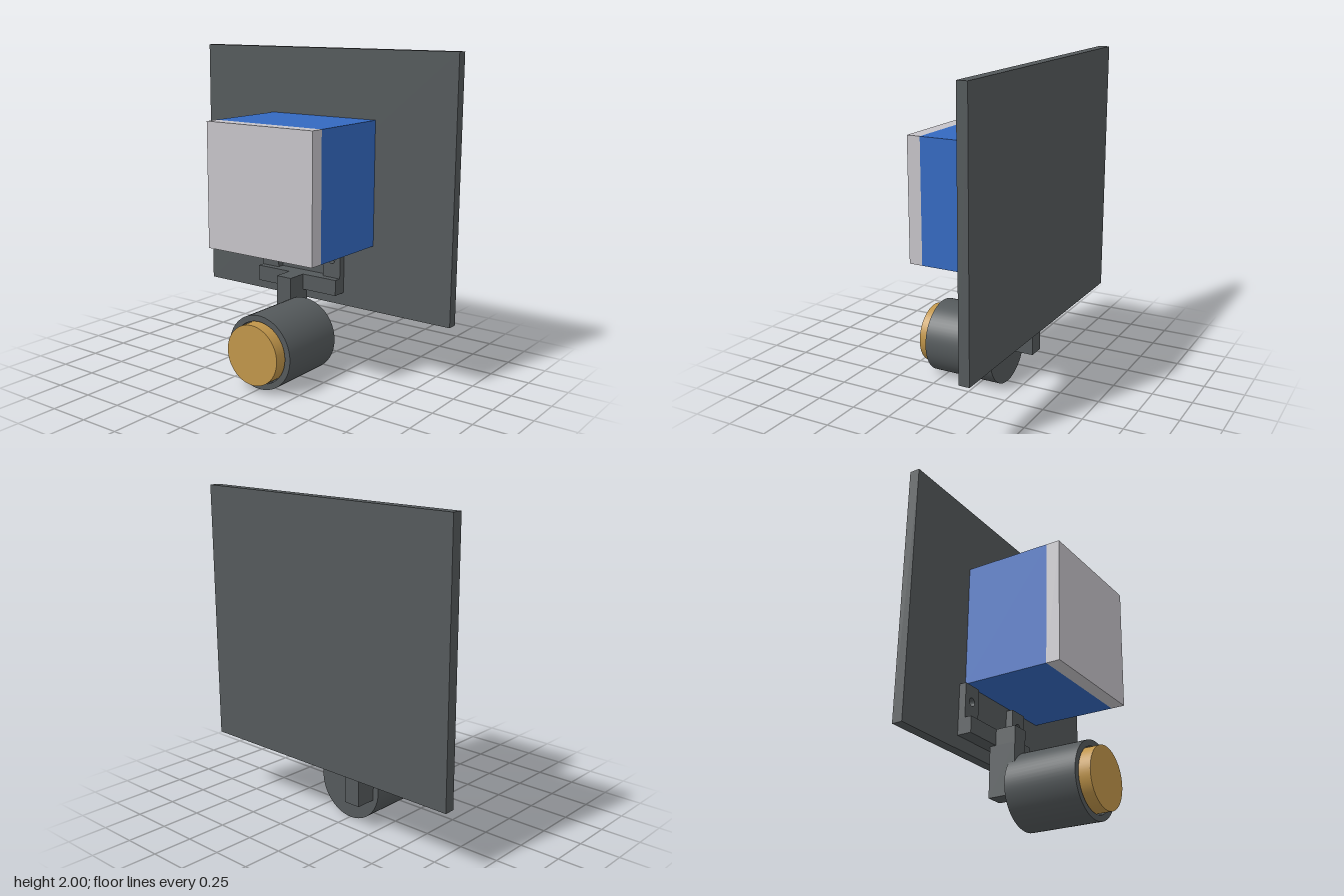
import * as THREE from 'three';
import { toCreasedNormals } from 'three/addons/utils/BufferGeometryUtils.js';

const mat = (name, color) => {
  const m = new THREE.MeshStandardMaterial({ color });
  m.name = name;
  return m;
};

export function createModel() {
  const model = new THREE.Group();
  model.name = 'mountedCamera';
  const darkGrey = mat('darkGrey', 0x54595b);
  const blue = mat('blue', 0x3469c0);
  const lightGrey = mat('lightGrey', 0xc5c3c8);
  const gold = mat('gold', 0xc0954a);

  const add = (name, geometry, material, parent = model) => {
    const mesh = new THREE.Mesh(geometry, material);
    mesh.name = name;
    parent.add(mesh);
    return mesh;
  };
  // Box given by its lower and upper limits on each axis
  const block = (name, material, [x0, x1], [y0, y1], [z0, z1], parent) => {
    const g = new THREE.BoxGeometry(x1 - x0, y1 - y0, z1 - z0);
    g.translate((x0 + x1) / 2, (y0 + y1) / 2, (z0 + z1) / 2);
    return add(name, g, material, parent);
  };

  // Back plate and the box standing out from it
  block('backPlate', darkGrey, [-0.923, 0.923], [0.4, 2], [-0.385, -0.32]);
  block('boxBody', blue, [-0.385, 0.385], [0.815, 1.585], [-0.32, 0.23]);
  block('boxFrontCap', lightGrey, [-0.385, 0.385], [0.815, 1.585], [0.23, 0.316]);

  // Bracket: crossbar, hanging arm and two drilled tabs
  const bracket = new THREE.Group();
  bracket.name = 'bracket';
  model.add(bracket);
  block('crossbar', darkGrey, [-0.44, 0.17], [0.48, 0.58], [-0.32, -0.23], bracket);
  block('arm', darkGrey, [-0.19, -0.08], [0.48, 0.58], [-0.23, -0.1], bracket);
  block('armLower', darkGrey, [-0.19, -0.08], [0.17, 0.48], [-0.272, -0.1], bracket);
  for (const x of [-0.375, 0.108]) {
    const shape = new THREE.Shape([
      new THREE.Vector2(-0.064, 0.58), new THREE.Vector2(0.064, 0.58),
      new THREE.Vector2(0.064, 0.795), new THREE.Vector2(-0.064, 0.795),
    ]);
    shape.holes.push(new THREE.Path().absarc(0, 0.695, 0.025, 0, Math.PI * 2, true));
    const g = new THREE.ExtrudeGeometry(shape, { depth: 0.045, bevelEnabled: false, curveSegments: 16 });
    add('drilledTab', g.translate(x, 0, -0.32), darkGrey, bracket);
  }

  // Round housing with a shallow bore that holds the lens
  const profile = [[0, -0.14], [0.23, -0.14], [0.23, 0.316], [0.193, 0.316], [0.193, 0.23], [0, 0.23]]
    .map(([r, y]) => new THREE.Vector2(r, y));
  const housing = toCreasedNormals(new THREE.LatheGeometry(profile, 64), 0.6);
  housing.rotateX(Math.PI / 2).translate(0, 0.23, 0);
  add('housing', housing, darkGrey);

  const lens = new THREE.CylinderGeometry(0.186, 0.186, 0.155, 64);
  lens.rotateX(Math.PI / 2).translate(0, 0.232, 0.3075);
  add('lens', lens, gold);

  return model;
}
